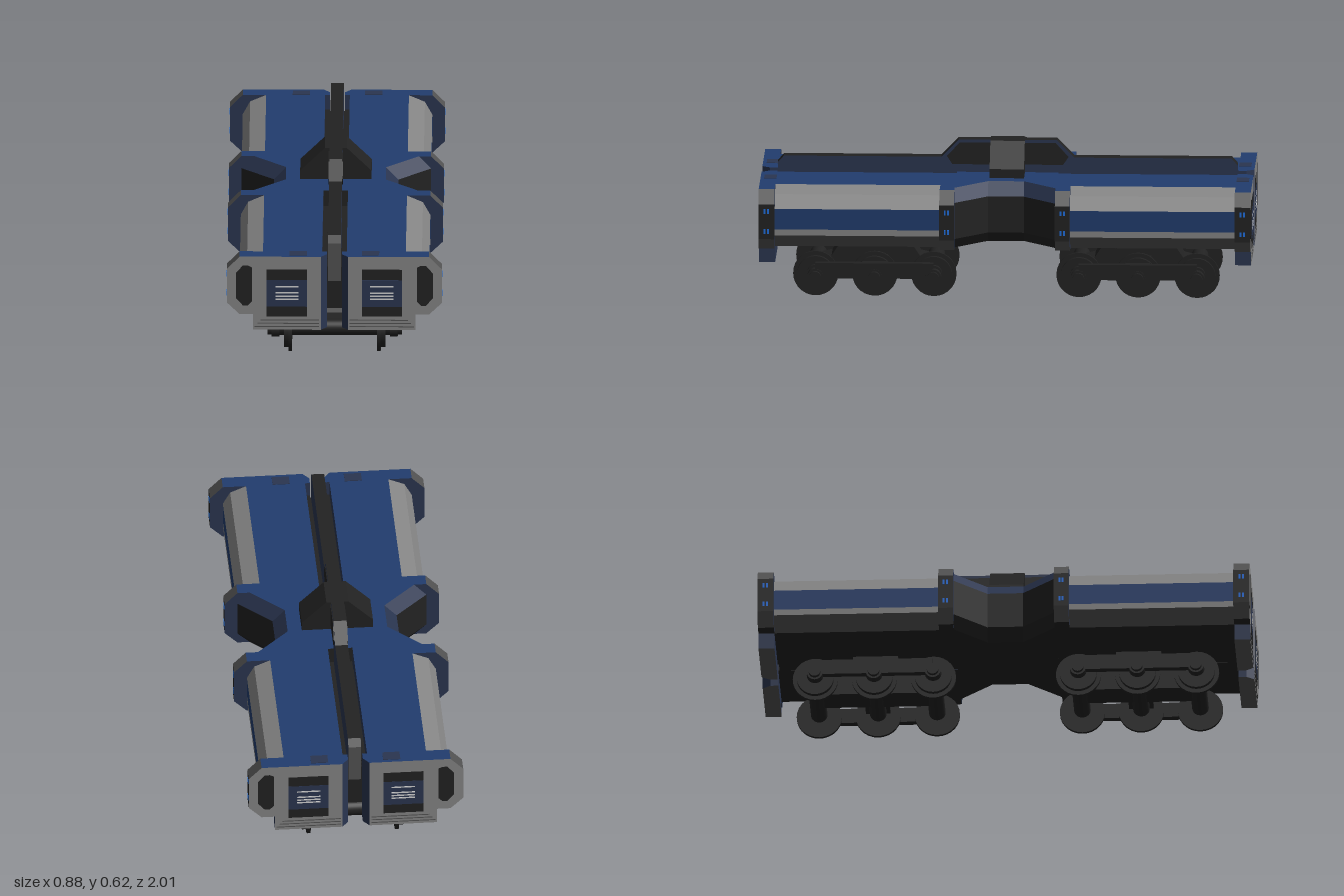
import * as THREE from 'three';

const paint = (name, color) => Object.assign(new THREE.MeshStandardMaterial({ color }), { name });
const blue = paint('blue', 0x213d6e);
const navy = paint('navy', 0x2a3550);
const grey = paint('grey', 0x858585);
const darkGrey = paint('dark grey', 0x525252);
const black = paint('black', 0x222222);
const white = paint('white', 0xd4d4d4);
const lamp = paint('lamp blue', 0x1f6fe0);

// Solid between rings [z, [[x, y], ...]] (counter-clockwise), one material per edge plus two caps
function loft(name, rings, edgeMats, backMat, frontMat) {
  const pos = [];
  const mats = [];
  const geo = new THREE.BufferGeometry();
  const add = (mat, ...pts) => {
    if (!mats.includes(mat)) mats.push(mat);
    geo.addGroup(pos.length / 3, pts.length, mats.indexOf(mat));
    pts.forEach((p) => pos.push(...p));
  };
  const at = ([z, pts], i) => [...pts[i % pts.length], z];
  for (let r = 0; r < rings.length - 1; r++) {
    const [a, b] = [rings[r], rings[r + 1]];
    for (let i = 0; i < a[1].length; i++) {
      const mat = Array.isArray(edgeMats) ? edgeMats[i] : edgeMats;
      add(mat, at(a, i), at(a, i + 1), at(b, i + 1), at(a, i), at(b, i + 1), at(b, i));
    }
  }
  const cap = (ring, mat, flip) => {
    const tris = THREE.ShapeUtils.triangulateShape(ring[1].map((p) => new THREE.Vector2(...p)), []);
    tris.forEach(([i, j, k]) => add(mat, at(ring, i), at(ring, flip ? k : j), at(ring, flip ? j : k)));
  };
  cap(rings[0], backMat, true);
  cap(rings[rings.length - 1], frontMat, false);
  geo.setAttribute('position', new THREE.Float32BufferAttribute(pos, 3));
  geo.computeVertexNormals();
  const mesh = new THREE.Mesh(geo, mats);
  mesh.name = name;
  return mesh;
}

const prism = (name, pts, z0, z1, edges, back = edges, front = back) =>
  loft(name, [[z0, pts], [z1, pts]], edges, back, front);

// Prism whose profile is (z, y), extruded along x
function sidePrism(name, pts, x0, x1, edges, caps = edges) {
  const mesh = prism(name, pts.map(([z, y]) => [-z, y]).reverse(), x0, x1, Array.isArray(edges) ? [...edges.slice(0, -1).reverse(), edges[edges.length - 1]] : edges, caps);
  mesh.geometry.rotateY(Math.PI / 2);
  return mesh;
}

function box(name, mat, x0, x1, y0, y1, z0, z1) {
  const mesh = new THREE.Mesh(new THREE.BoxGeometry(x1 - x0, y1 - y0, z1 - z0), mat);
  mesh.position.set((x0 + x1) / 2, (y0 + y1) / 2, (z0 + z1) / 2);
  mesh.name = name;
  return mesh;
}

function disc(name, r, x0, x1, y, z) {
  const mesh = new THREE.Mesh(new THREE.CylinderGeometry(r, r, x1 - x0, 28), black);
  mesh.rotation.z = Math.PI / 2;
  mesh.position.set((x0 + x1) / 2, y, z);
  mesh.name = name;
  return mesh;
}

// One quarter of the hull (x > 0, z > 0)
function makeQuarter() {
  const g = new THREE.Group();

  // Long body with sloped grey panel and blue side stripe
  const body = [[0.03, 0.235], [0.33, 0.235], [0.385, 0.29], [0.385, 0.315], [0.385, 0.4],
    [0.355, 0.455], [0.29, 0.483], [0.05, 0.483], [0.05, 0.42], [0.03, 0.42]];
  g.add(prism('bodySection', body, 0.265, 0.935,
    [black, darkGrey, grey, blue, grey, grey, blue, navy, black, black], navy));

  // Protruding rib beside the waist
  const rib = [[0.05, 0.235], [0.385, 0.235], [0.437, 0.285], [0.437, 0.43], [0.385, 0.483], [0.05, 0.483]];
  g.add(prism('sideRib', rib, 0.205, 0.265, [black, darkGrey, black, darkGrey, blue, navy], navy));

  // Narrow waist
  const waist = (x) => [[0, 0.235], [x - 0.05, 0.235], [x, 0.28], [x, 0.43], [x - 0.05, 0.483], [0, 0.483]];
  g.add(loft('waist', [[0, waist(0.253)], [0.073, waist(0.253)], [0.206, waist(0.386)]],
    [black, black, black, navy, blue, black], black, black));

  // End plate with bevelled inner edge
  const plate = (x) => [[x, 0.168], [0.33, 0.168], [0.33, 0.235], [0.385, 0.235], [0.437, 0.285],
    [0.437, 0.43], [0.385, 0.483], [x, 0.483]];
  g.add(loft('endPlate', [[0.935, plate(0.03)], [0.968, plate(0.03)], [1, plate(0.055)]],
    [darkGrey, navy, black, darkGrey, black, darkGrey, blue, navy], navy, grey));

  // End face details
  g.add(prism('endWindow', [[0.335, 0.29], [0.352, 0.273], [0.372, 0.273], [0.4, 0.305], [0.4, 0.412],
    [0.372, 0.445], [0.352, 0.445], [0.335, 0.437]], 0.998, 1.001, black));
  g.add(box('gangwayPanel', black, 0.112, 0.275, 0.226, 0.428, 0.997, 1.001));
  g.add(box('gangwayInset', navy, 0.112, 0.275, 0.268, 0.383, 0.998, 1.002));
  [0.355, 0.328, 0.314, 0.301].forEach((y, i) =>
    g.add(box('whiteBar', white, 0.145, 0.24, y - 0.003, y + 0.003, 0.999, 1.003)));
  for (let i = 0; i < 3; i++) {
    g.add(box('ventLine', darkGrey, 0.062, 0.3 + i * 0.012, 0.208 - i * 0.014, 0.212 - i * 0.014, 0.998, 1.001));
  }

  // Roof hatch and marker lamps
  g.add(prism('roofHatch', [[0.112, 0.48], [0.182, 0.48], [0.182, 0.485], [0.112, 0.485]], 0.935, 0.985, navy));
  for (const z of [0.235, 0.968]) {
    for (const y of [0.4, 0.318]) {
      for (const dz of [-0.007, 0.007]) {
        g.add(box('markerLamp', lamp, 0.434, 0.439, y - 0.01, y + 0.01, z + dz - 0.004, z + dz + 0.004));
      }
    }
  }
  return g;
}

// Six-wheel bogie centred on z = 0.535
function makeBogie() {
  const g = new THREE.Group();
  const c = 0.535;
  const beam = [[-0.24, 0.08], [0.24, 0.08], [0.24, 0.125], [0.18, 0.14], [0.155, 0.178], [0.095, 0.178],
    [0.07, 0.192], [-0.07, 0.192], [-0.095, 0.178], [-0.155, 0.178], [-0.18, 0.14], [-0.24, 0.125]];
  g.add(sidePrism('bogieBeam', beam.map(([z, y]) => [z + c, y]), -0.065, 0.065, black));
  g.add(box('pivotPost', black, -0.04, 0.04, 0.19, 0.225, c - 0.038, c + 0.038));
  g.add(box('pivotPlate', black, -0.09, 0.09, 0.222, 0.238, c - 0.092, c + 0.092));
  g.add(box('bolster', black, -0.24, 0.24, 0.1, 0.148, c - 0.05, c + 0.05));
  for (const s of [-1, 1]) {
    const side = (name, r, a, b, z) => g.add(disc(name, r, Math.min(s * a, s * b), Math.max(s * a, s * b), 0.092, z));
    g.add(box('sideFrame', black, s > 0 ? 0.222 : -0.252, s > 0 ? 0.252 : -0.222, 0.085, 0.148, c - 0.24, c + 0.24));
    for (const z of [c - 0.24, c, c + 0.24]) {
      side('wheelTread', 0.075, 0.175, 0.206, z);
      side('wheelFlange', 0.092, 0.173, 0.187, z);
      side('axleBox', 0.032, 0.225, 0.256, z);
      side('axleCap', 0.024, 0.256, 0.273, z);
    }
  }
  for (const z of [c - 0.24, c, c + 0.24]) g.add(disc('axle', 0.034, -0.225, 0.225, 0.1, z));
  return g;
}

export function createModel() {
  const model = new THREE.Group();
  model.name = 'railVehicle';

  // Four mirrored hull quarters and two bogies
  const quarter = makeQuarter();
  const bogie = makeBogie();
  for (const sz of [1, -1]) {
    for (const sx of [1, -1]) {
      const q = quarter.clone();
      q.name = 'hullQuarter';
      q.scale.set(sx, 1, sz);
      model.add(q);
    }
    const b = bogie.clone();
    b.name = 'bogie';
    b.scale.z = sz;
    model.add(b);
  }

  // Keel between the hull halves
  model.add(box('keel', black, -0.049, 0.049, 0.236, 0.415, -0.93, 0.93));

  // Raised roof spine with a central hump
  const half = [[0.935, 0.355], [0.935, 0.517], [0.91, 0.545], [0.27, 0.545], [0.2, 0.617]];
  const spine = [...half, ...half.map(([z, y]) => [-z, y]).reverse()];
  const spineMats = [darkGrey, ...Array(7).fill(black), darkGrey, black];
  model.add(sidePrism('roofSpine', spine, -0.026, 0.026, spineMats, navy));

  // Dark windows on both sides of the hump
  for (const s of [1, -1]) {
    const pane = [[0.07, 0.515], [0.225, 0.515], [0.247, 0.548], [0.195, 0.605], [0.07, 0.605]];
    const pts = s > 0 ? pane : pane.map(([z, y]) => [-z, y]).reverse();
    model.add(sidePrism('humpWindow', pts, -0.029, 0.029, black));
  }

  // Cross block over the waist
  model.add(prism('crossBlock', [[-0.145, 0.48], [0.145, 0.48], [0.145, 0.52], [0.045, 0.617],
    [-0.045, 0.617], [-0.145, 0.52]], -0.07, 0.07, black));
  return model;
}
